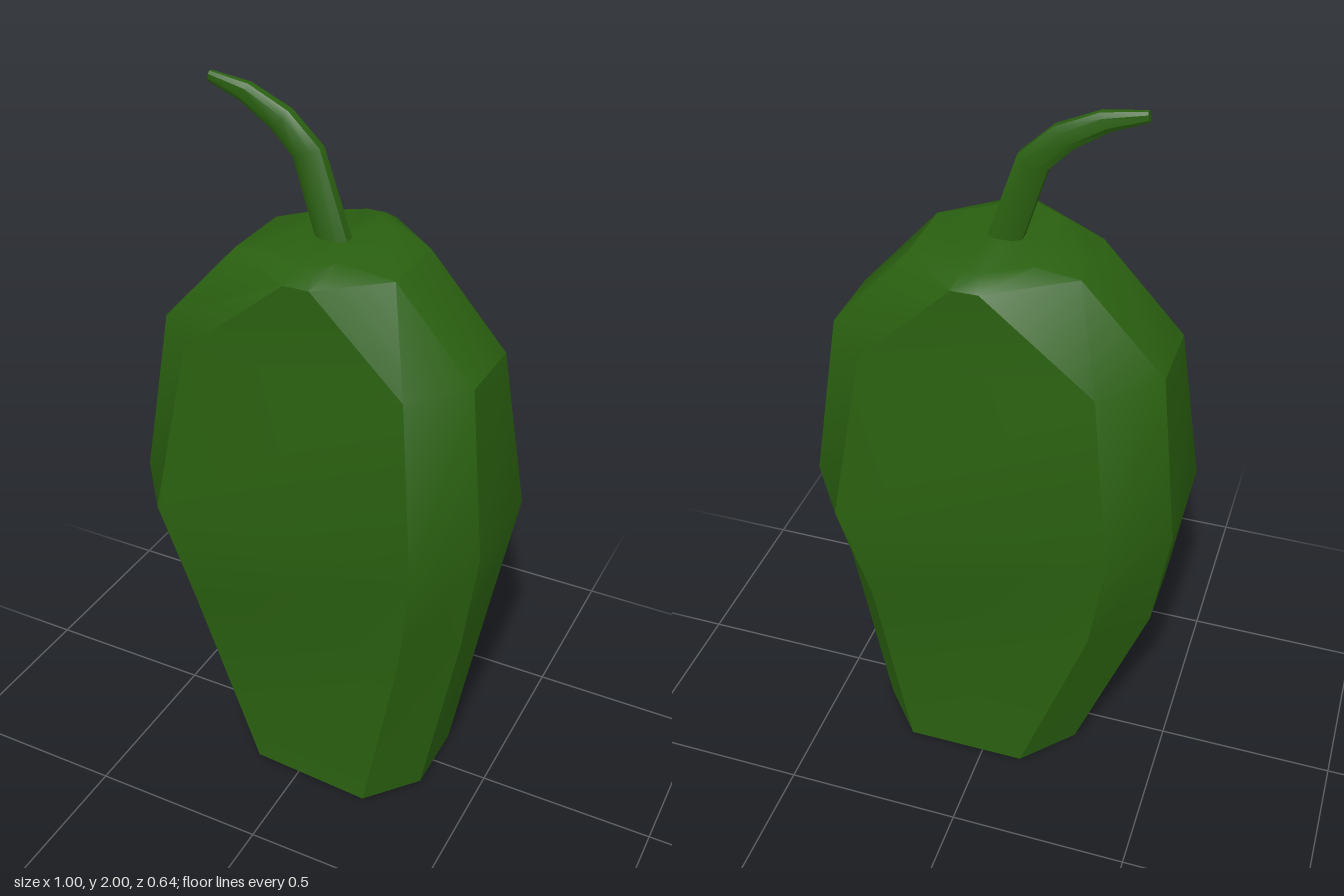
import * as THREE from 'three';
import { toCreasedNormals } from 'three/addons/utils/BufferGeometryUtils.js';

// Eight-sided ring, counter-clockwise from the front-left corner:
// l, r = outer x; il, ir = x ends of the front and back faces; z = depth; iz = half width of the side faces
function ring(y, l, r, il, ir, z, iz) {
  return [[il, z], [ir, z], [r, iz], [r, -iz], [ir, -z], [il, -z], [l, -iz], [l, iz]]
    .map(([x, pz]) => new THREE.Vector3(x, y, pz));
}

// Skin between successive rings, with optional flat ends
function loft(rings, capStart, capEnd, crease = 0.6) {
  const tris = [];
  const n = 8;
  for (let k = 0; k < rings.length - 1; k++) {
    for (let i = 0; i < n; i++) {
      const j = (i + 1) % n, a = rings[k], b = rings[k + 1];
      tris.push(a[i], a[j], b[j], a[i], b[j], b[i]);
    }
  }
  const last = rings[rings.length - 1];
  for (let i = 1; i < n - 1; i++) {
    if (capStart) tris.push(rings[0][0], rings[0][i + 1], rings[0][i]);
    if (capEnd) tris.push(last[0], last[i], last[i + 1]);
  }
  const g = new THREE.BufferGeometry().setFromPoints(tris);
  g.computeVertexNormals();
  return toCreasedNormals(g, crease);
}

export function createModel() {
  const group = new THREE.Group();
  const green = new THREE.MeshStandardMaterial({ color: 0x2a6010 });
  const grey = new THREE.MeshStandardMaterial({ color: 0xcccccc });
  const add = (name, geometry, material) => {
    const mesh = new THREE.Mesh(geometry, material);
    mesh.name = name;
    group.add(mesh);
  };

  // Body, from the rim of the cut end up to the crown
  const cut = ring(0, -0.2, 0.29, -0.09, 0.18, 0.2, 0.085);
  const bottom = ring(0.01, -0.25, 0.34, -0.12, 0.22, 0.245, 0.105);
  bottom[0].y = 0.035;
  const body = [
    cut,
    bottom,
    ring(0.56, -0.45, 0.44, -0.31, 0.32, 0.245, 0.105),
    ring(0.9, -0.5, 0.495, -0.365, 0.375, 0.32, 0.15),
    ring(1.36, -0.44, 0.435, -0.3, 0.31, 0.245, 0.105),
    ring(1.6, -0.22, 0.22, -0.01, 0.06, 0.245, 0.105),
    ring(1.63, -0.11, 0.08, 0, 0.05, 0.197, 0.13),
  ];
  add('body', loft(body, false, true), green);

  // Pale flesh of the cut end
  const flesh = new THREE.BufferGeometry().setFromPoints(
    [1, 2, 3, 4, 5, 6].flatMap((i) => [cut[0], cut[i + 1], cut[i]]));
  flesh.computeVertexNormals();
  add('cutEnd', flesh, grey);

  // Curved stem: [right x, right y, left x, left y, half depth] per section
  const stem = [
    [0.055, 1.6, -0.035, 1.6, 0.028],
    [-0.03, 1.855, -0.105, 1.825, 0.025],
    [-0.115, 1.935, -0.165, 1.885, 0.022],
    [-0.225, 1.985, -0.25, 1.94, 0.018],
    [-0.335, 2.0, -0.34, 1.974, 0.01],
  ].map(([rx, ry, lx, ly, d]) => {
    const right = new THREE.Vector3(rx, ry, 0), left = new THREE.Vector3(lx, ly, 0);
    return ring(0, 0, 1, 0.25, 0.75, d, d * 0.5).map((p) => {
      const q = left.clone().lerp(right, p.x);
      q.z = p.z;
      return q;
    });
  });
  add('stem', loft(stem, false, true), green);

  return group;
}
